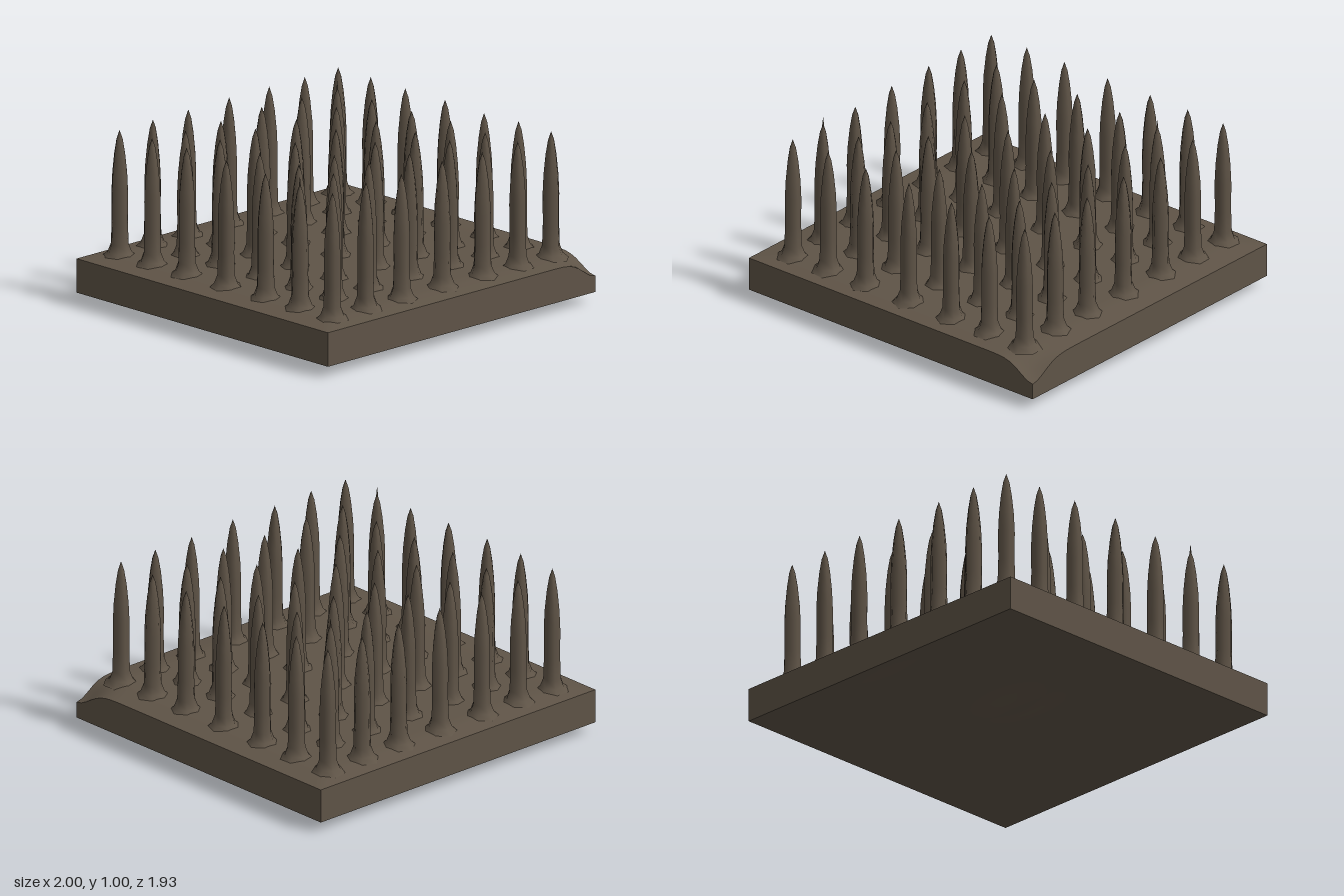
import * as THREE from 'three';

const bronze = new THREE.MeshStandardMaterial({ color: 0x5f5447 });
bronze.name = 'dark bronze';

// spike centres, the same along both axes
const rows = [-0.82, -0.57, -0.305, 0, 0.3, 0.565, 0.815];

function seeded(seed) {
  return () => {
    seed = (seed * 16807) % 2147483647;
    return seed / 2147483647;
  };
}

const bump = (x, z, cx, cz, rx, rz) =>
  Math.exp(-(((x - cx) / rx) ** 2) - ((z - cz) / rz) ** 2);

// height of the slab's top: low rim, slightly swollen inside
function topHeight(x, z) {
  const rim = Math.min(1, (1 - Math.abs(x)) / 0.16, (0.965 - Math.abs(z)) / 0.14);
  const droop = 0.1 * bump(x, z, 1, 0.965, 0.12, 0.14);
  return 0.25 + 0.02 * Math.max(0, rim) - droop;
}

// uneven underside with shallow lumps
function bottomHeight(x, z) {
  const rim = Math.max(0, Math.min(1, (1 - Math.abs(x)) / 0.2, (0.965 - Math.abs(z)) / 0.1));
  const lumps = 0.06 * bump(x, z, -0.2, -0.12, 0.28, 0.14)
    + 0.028 * bump(x, z, 0.6, -0.5, 0.25, 0.3)
    + 0.025 * bump(x, z, 0, -0.82, 0.35, 0.12);
  return 0.06 - Math.min(0.06, lumps) * rim;
}

function makeSlab() {
  const geo = new THREE.BoxGeometry(2, 1, 1.93, 50, 1, 50);
  const p = geo.attributes.position;
  for (let i = 0; i < p.count; i++) {
    const x = p.getX(i), z = p.getZ(i);
    p.setY(i, p.getY(i) > 0 ? topHeight(x, z) : bottomHeight(x, z));
  }
  geo.computeVertexNormals();
  const slab = new THREE.Mesh(geo, bronze);
  slab.name = 'baseSlab';
  return slab;
}

export function createModel() {
  const model = new THREE.Group();
  model.name = 'spikeBoard';
  model.add(makeSlab());

  // flared foot, straight shaft, long pointed tip
  const profile = [
    [0.1, 0.255], [0.066, 0.285], [0.049, 0.33], [0.045, 0.45], [0.046, 0.62],
    [0.041, 0.73], [0.03, 0.84], [0.017, 0.92], [0, 0.97],
  ].map(([r, y]) => new THREE.Vector2(r, y));
  const spikeGeo = new THREE.LatheGeometry(profile, 7);

  const spikes = new THREE.Group();
  spikes.name = 'spikes';
  const rand = seeded(41);
  rows.forEach((x, i) => rows.forEach((z, j) => {
    const spike = new THREE.Mesh(spikeGeo, bronze);
    spike.name = `spike${i + 1}_${j + 1}`;
    spike.position.set(x, 0, z);
    spike.rotation.y = rand() * Math.PI * 2;
    // slight differences in height
    spike.scale.y = 0.985 + rand() * 0.02;
    spikes.add(spike);
  }));

  // two spikes carry a hair-thin taller tip
  for (const [x, z] of [[-0.82, 0.565], [0.565, -0.57]]) {
    const tip = new THREE.Mesh(new THREE.ConeGeometry(0.008, 0.08, 5), bronze);
    tip.name = 'needleTip';
    tip.position.set(x, 0.965, z);
    spikes.add(tip);
  }
  model.add(spikes);
  return model;
}
